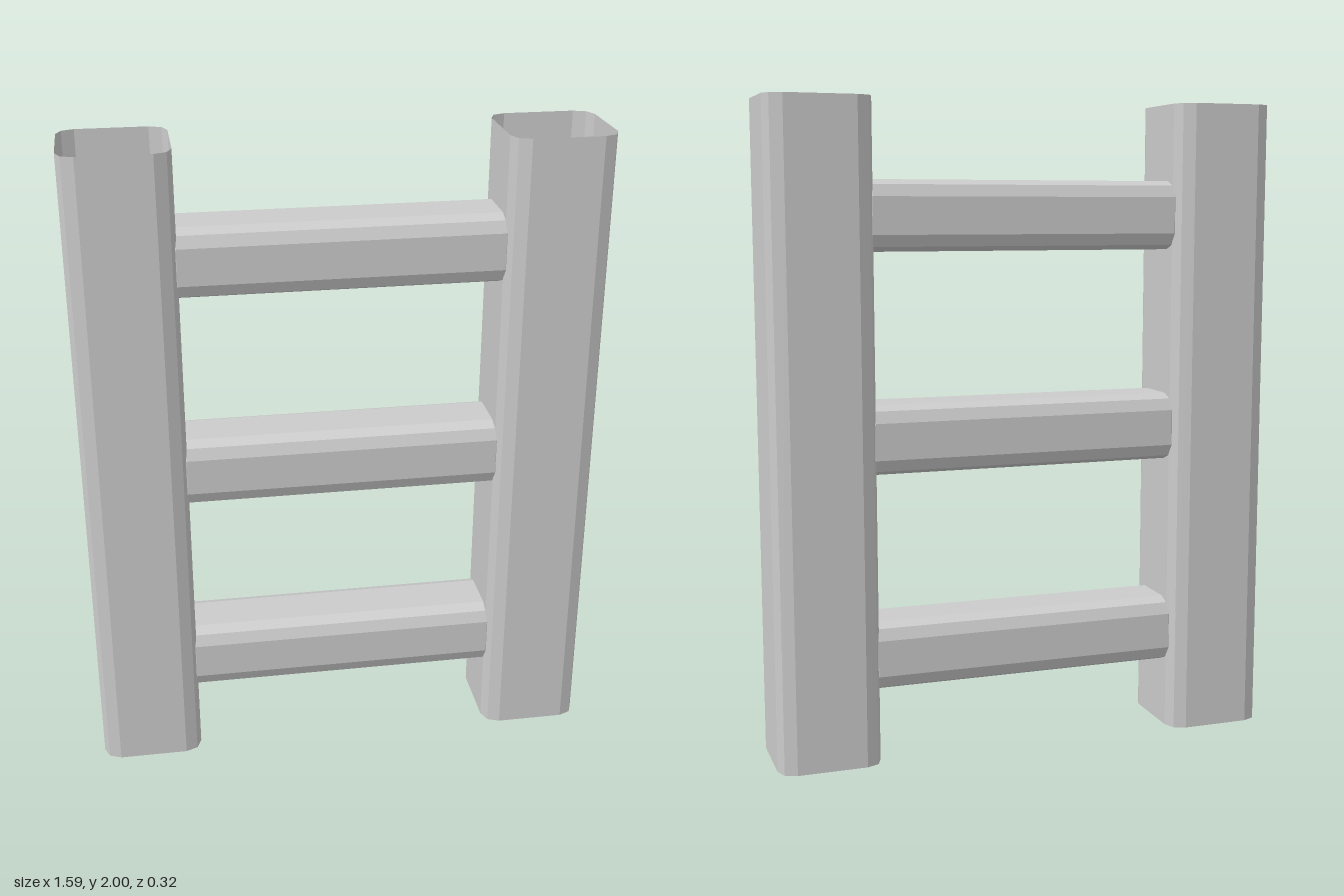
import * as THREE from 'three';
import { RoundedBoxGeometry } from 'three/addons/geometries/RoundedBoxGeometry.js';

const POST = { half: 0.159, radius: 0.052, height: 2, x: 0.638 };
const RUNG = { length: 1.064, height: 0.212, depth: 0.237, radius: 0.05 };
const RUNG_HEIGHTS = [0.321, 0.989, 1.658];

// Square outline with each corner rounded by two facets, as [x, z] points
function postOutline(half, radius) {
  const points = [];
  const inner = half - radius;
  for (let corner = 0; corner < 4; corner++) {
    const middle = Math.PI / 4 + corner * Math.PI / 2;
    const cx = Math.sign(Math.cos(middle)) * inner;
    const cz = Math.sign(Math.sin(middle)) * inner;
    for (let step = -1; step <= 1; step++) {
      const a = middle + step * Math.PI / 4;
      points.push([cx + radius * Math.cos(a), cz + radius * Math.sin(a)]);
    }
  }
  return points;
}

// Thin-walled tube, open at the top and bottom
function openTube(outline, height) {
  const positions = [];
  outline.forEach(([ax, az], i) => {
    const [bx, bz] = outline[(i + 1) % outline.length];
    positions.push(
      ax, 0, az, ax, height, az, bx, 0, bz,
      bx, 0, bz, ax, height, az, bx, height, bz
    );
  });
  const geometry = new THREE.BufferGeometry();
  geometry.setAttribute('position', new THREE.Float32BufferAttribute(positions, 3));
  geometry.computeVertexNormals();
  return geometry;
}

export function createModel() {
  const model = new THREE.Group();
  model.name = 'ladder';

  const grey = new THREE.MeshStandardMaterial({
    color: 0xcccccc, flatShading: true, side: THREE.DoubleSide
  });
  grey.name = 'grey';

  // Two hollow upright posts
  const postGeometry = openTube(postOutline(POST.half, POST.radius), POST.height);
  for (const side of [1, -1]) {
    const post = new THREE.Mesh(postGeometry, grey);
    post.name = side > 0 ? 'leftPost' : 'rightPost';
    post.position.x = side * POST.x;
    model.add(post);
  }

  // Three bevelled rungs whose ends sit inside the posts
  const rungGeometry = new RoundedBoxGeometry(RUNG.length, RUNG.height, RUNG.depth, 1, RUNG.radius);
  rungGeometry.clearGroups();
  rungGeometry.computeVertexNormals();
  RUNG_HEIGHTS.forEach((y, i) => {
    const rung = new THREE.Mesh(rungGeometry, grey);
    rung.name = `rung${i + 1}`;
    rung.position.y = y;
    model.add(rung);
  });

  return model;
}
